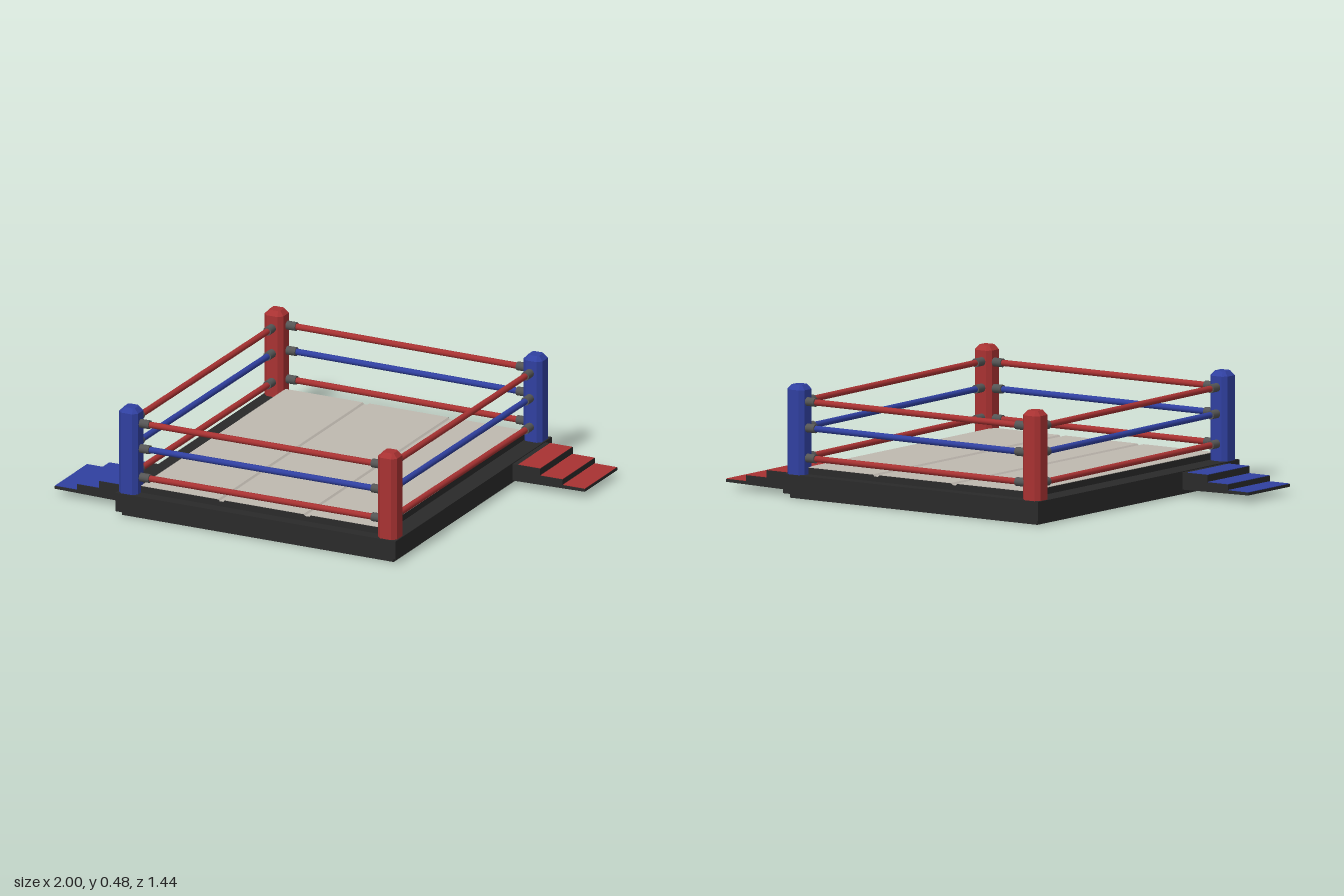
import * as THREE from 'three';

const mat = (color, flatShading = false) => new THREE.MeshStandardMaterial({ color, flatShading });
const red = mat(0xa83232), blue = mat(0x3040a0), canvas = mat(0xbfb9b0);
const dark = mat(0x2a2a2a), steel = mat(0x555555);

export function createModel() {
  const root = new THREE.Group();
  root.name = 'boxingRing';

  const add = (name, geometry, material, parent = root) => {
    const mesh = new THREE.Mesh(geometry, material);
    mesh.name = name;
    parent.add(mesh);
    return mesh;
  };
  const box = (name, x0, x1, y0, y1, z0, z1, material, parent) => {
    const mesh = add(name, new THREE.BoxGeometry(x1 - x0, y1 - y0, z1 - z0), material, parent);
    mesh.position.set((x0 + x1) / 2, (y0 + y1) / 2, (z0 + z1) / 2);
    return mesh;
  };
  const shape = (points) => new THREE.Shape(points.map(([x, y]) => new THREE.Vector2(x, y)));

  // Platform: recessed foot and wider deck
  box('platformFoot', -0.64, 0.64, 0, 0.025, -0.7, 0.7, dark);
  box('platformDeck', -0.66, 0.66, 0.02, 0.102, -0.722, 0.722, dark);

  // Floor: dark padding with a light top sheet, dipping at two seams
  const top = 0.132, dip = 0.125;
  const surface = [[-0.567, top], [-0.203, top], [-0.196, dip], [-0.179, dip], [-0.172, top],
    [0.2, top], [0.207, dip], [0.226, dip], [0.233, top], [0.573, top]];
  const slab = (name, drop, length, material) => {
    const lower = surface.map(([x, y]) => [x, y - 0.002]);
    const outline = drop
      ? [...lower, [0.573, 0.1], [-0.567, 0.1]]
      : [...surface, ...lower.reverse()];
    const geometry = new THREE.ExtrudeGeometry(shape(outline), { depth: length, bevelEnabled: false });
    geometry.translate(0, 0, -length / 2);
    add(name, geometry, material);
  };
  slab('floorPadding', true, 1.34, dark);
  slab('floorCanvas', false, 1.335, canvas);

  // Corner posts: chamfered square pads with bevelled caps
  const h = 0.044, c = 0.026;
  const padOutline = shape([[-c, -h], [c, -h], [h, -c], [h, c], [c, h], [-c, h], [-h, c], [-h, -c]]);
  const postGeometry = new THREE.ExtrudeGeometry(padOutline, {
    depth: 0.36, bevelThickness: 0.02, bevelSize: 0.018, bevelOffset: -0.018, bevelSegments: 1,
  });
  postGeometry.rotateX(-Math.PI / 2);
  for (const [sx, sz] of [[1, 1], [1, -1], [-1, 1], [-1, -1]]) {
    const post = add('cornerPost', postGeometry, sx * sz > 0 ? red : blue);
    post.position.set(sx * 0.61, 0.102, sz * 0.672);
  }

  // Ropes: three per side, each held by a steel sleeve at both ends
  const rod = (name, a, b, radius, material, parent) => {
    const mesh = add(name, new THREE.CylinderGeometry(radius, radius, a.distanceTo(b), 12), material, parent);
    mesh.position.copy(a).lerp(b, 0.5);
    mesh.quaternion.setFromUnitVectors(new THREE.Vector3(0, 1, 0), b.clone().sub(a).normalize());
  };
  const sides = [
    ['frontRopes', [-0.58, 0, 0.672], [0.58, 0, 0.664]],
    ['backRopes', [-0.58, 0, -0.684], [0.58, 0, -0.676]],
    ['leftRopes', [0.605, 0.003, 0.64], [0.605, -0.004, -0.64]],
    ['rightRopes', [-0.61, 0.003, 0.64], [-0.61, -0.004, -0.64]],
  ];
  for (const [name, start, end] of sides) {
    const group = new THREE.Group();
    group.name = name;
    root.add(group);
    [[0.172, red], [0.3, blue], [0.412, red]].forEach(([y, material]) => {
      const a = new THREE.Vector3(...start), b = new THREE.Vector3(...end);
      a.y += y;
      b.y += y;
      const t = 0.058 / a.distanceTo(b);
      rod('rope', a, b, 0.0135, material, group);
      rod('ropeSleeve', a, a.clone().lerp(b, t), 0.019, steel, group);
      rod('ropeSleeve', b, b.clone().lerp(a, t), 0.019, steel, group);
    });
  }

  // Steps: low dark stair with coloured treads, one on each side
  const steps = [[0.685, 0.79, 0.1], [0.79, 0.895, 0.069], [0.895, 1, 0.044]];
  const stairs = (name, side, z0, z1, material) => {
    const group = new THREE.Group();
    group.name = name;
    root.add(group);
    const outline = [[0.64, 0.024], [1, 0.03]];
    for (const [x0, x1, y] of [...steps].reverse()) outline.push([x1, y - 0.002], [x0, y - 0.002]);
    outline.push([0.64, 0.098]);
    const geometry = new THREE.ExtrudeGeometry(shape(outline), { depth: z1 - z0, bevelEnabled: false });
    geometry.translate(0, 0, -(z1 - z0) / 2);
    add('stairBody', geometry, dark, group);
    const w = (z1 - z0) / 2 - 0.003;
    for (const [x0, x1, y] of steps) box('stairTread', x0, x1 - 0.001, y - 0.004, y, -w, w, material, group);
    group.position.z = (z0 + z1) / 2;
    if (side < 0) group.rotation.y = Math.PI;
  };
  stairs('leftStairs', 1, -0.661, -0.36, red);
  stairs('rightStairs', -1, 0.315, 0.616, blue);

  return root;
}
